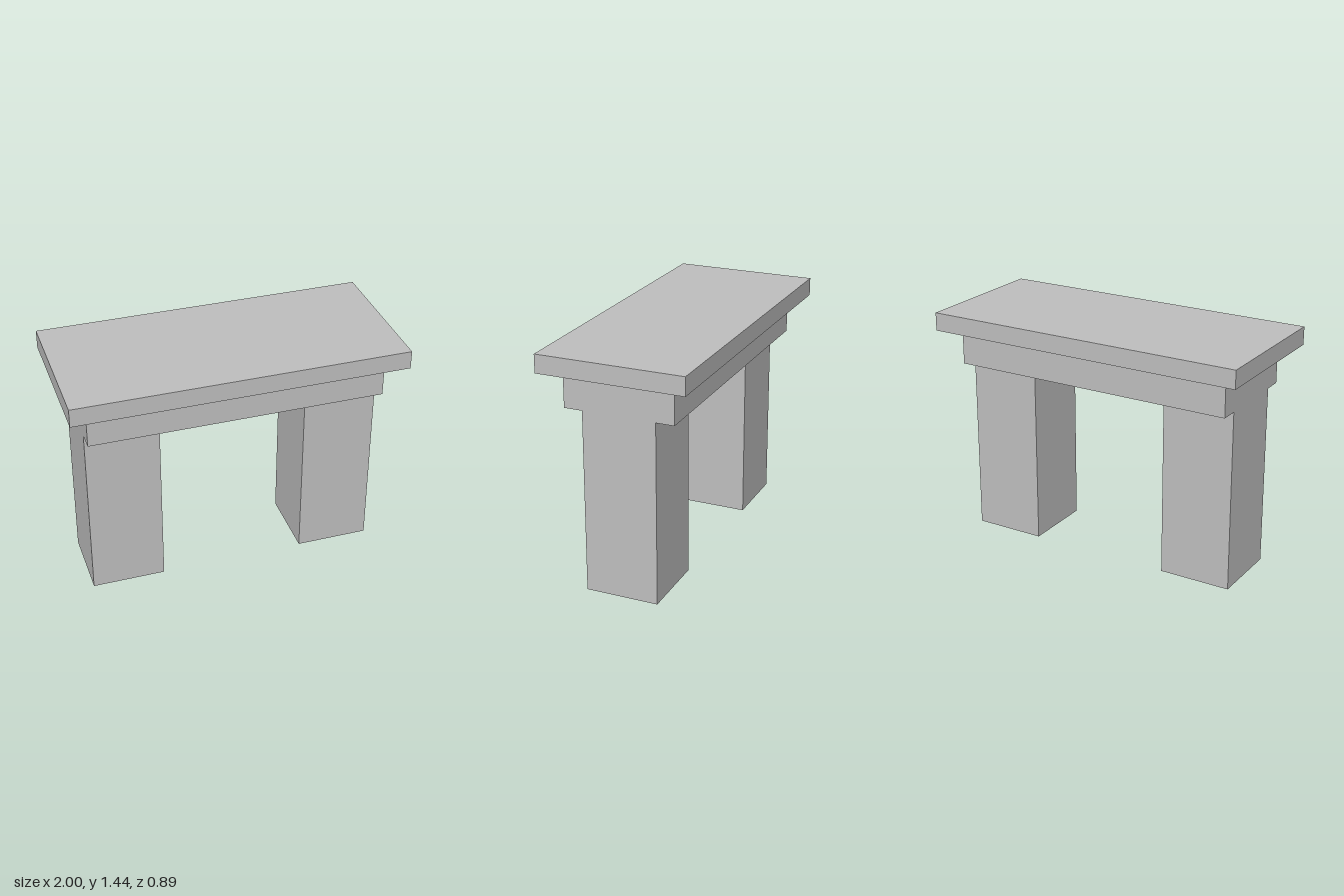
import * as THREE from 'three';

// Everything is laid out on a module of one ninth of a unit
const U = 1 / 9;

export function createModel() {
  const group = new THREE.Group();
  group.name = 'stoneTable';
  const stone = new THREE.MeshStandardMaterial({ color: 0xbfbfbf });
  stone.name = 'grey stone';

  // Block sized in modules, resting on height y
  const block = (name, w, h, d, x, y) => {
    const mesh = new THREE.Mesh(new THREE.BoxGeometry(w * U, h * U, d * U), stone);
    mesh.name = name;
    mesh.position.set(x * U, (y + h / 2) * U, 0);
    group.add(mesh);
  };

  // Two square legs, flush with the ends of the beam
  for (const side of [1, -1]) {
    block(side > 0 ? 'leftLeg' : 'rightLeg', 4, 10, 4, side * 6, 0);
  }

  // Beam across the legs, then the overhanging slab
  block('beam', 16, 2, 6, 0, 10);
  block('topSlab', 18, 1, 8, 0, 12);

  return group;
}
